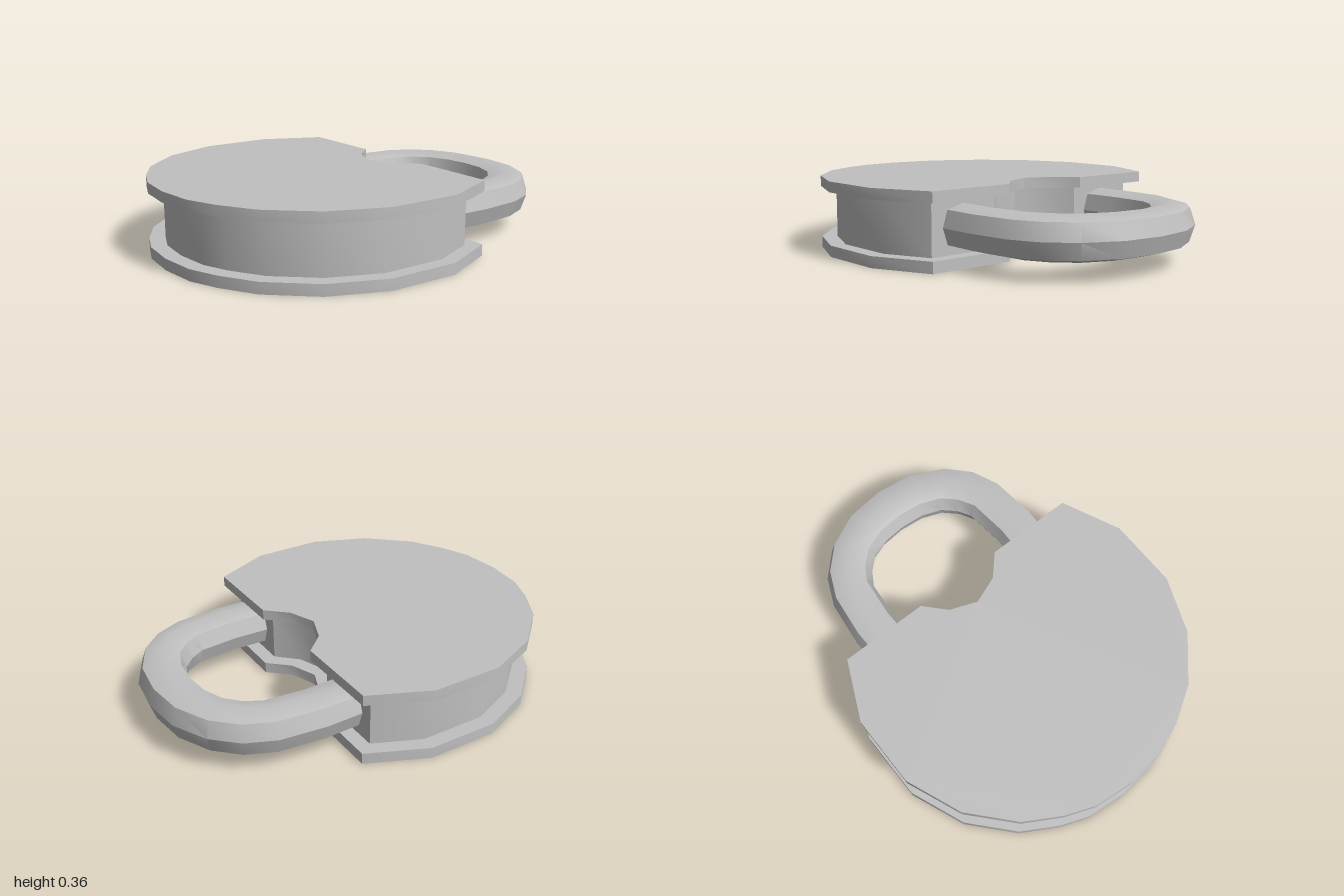
import * as THREE from 'three';
import { toCreasedNormals } from 'three/addons/utils/BufferGeometryUtils.js';

const CREASE = THREE.MathUtils.degToRad(35);

// Mirrors a right-half outline [x, z] (back centre to front centre) into a closed shape
function mirroredShape(half) {
  const left = half.slice(1, -1).reverse().map(([x, z]) => [-x, z]);
  return new THREE.Shape([...half, ...left].map(([x, z]) => new THREE.Vector2(x, z)));
}

// Horizontal slab with the given outline between two heights
function slab(half, bottom, top) {
  const geo = new THREE.ExtrudeGeometry(mirroredShape(half), { depth: top - bottom, bevelEnabled: false });
  geo.rotateX(Math.PI / 2).translate(0, top, 0);
  return toCreasedNormals(geo, CREASE);
}

// Octagonal bar swept through pairs of outer and inner points [xo, zo, xi, zi]
function shackleGeometry(half, y) {
  const stations = [...half, ...half.slice(0, -1).reverse().map(([a, b, c, d]) => [-a, b, -c, d])];
  const section = [[1, 0], [0.77, 0.08], [0, 0.104], [-0.77, 0.08], [-1, 0], [-0.77, -0.08], [0, -0.104], [0.77, -0.08]];
  const n = section.length, positions = [], index = [];
  stations.forEach(([xo, zo, xi, zi], i) => {
    section.forEach(([s, h], k) => {
      const t = (1 + s) / 2;
      positions.push(xi + (xo - xi) * t, y + h, zi + (zo - zi) * t);
      if (i === stations.length - 1) return;
      const a = i * n + k, b = i * n + (k + 1) % n;
      index.push(a, a + n, b, b, a + n, b + n);
    });
  });
  const geo = new THREE.BufferGeometry();
  geo.setAttribute('position', new THREE.Float32BufferAttribute(positions, 3));
  geo.setIndex(index);
  return toCreasedNormals(geo, CREASE);
}

export function createModel() {
  const group = new THREE.Group();
  group.name = 'padlock';
  const metal = new THREE.MeshStandardMaterial({ color: 0xc0c0c0 });
  metal.name = 'grey metal';

  const add = (name, geo) => {
    const mesh = new THREE.Mesh(geo, metal);
    mesh.name = name;
    group.add(mesh);
  };

  // Wide cover plates with a notch at the back
  const plate = [[0, -0.135], [0.135, -0.187], [0.23, -0.29], [0.67, -0.29], [0.8, 0], [0.8, 0.35],
    [0.69, 0.62], [0.51, 0.82], [0.34, 0.92], [0.195, 0.977], [0, 0.997]];
  add('bottomPlate', slab(plate, 0, 0.055));
  add('topPlate', slab(plate, 0.31, 0.362));

  // Inset lock body between the plates
  const core = [[0, -0.06], [0.165, -0.12], [0.262, -0.22], [0.625, -0.22], [0.727, 0.01], [0.727, 0.335],
    [0.628, 0.575], [0.465, 0.757], [0.31, 0.85], [0.18, 0.902], [0, 0.92]];
  add('lockBody', slab(core, 0.055, 0.31));

  // Shackle with both legs running into the body
  const bar = [[0.56, -0.15, 0.33, -0.15], [0.567, -0.4, 0.337, -0.4], [0.542, -0.63, 0.318, -0.595],
    [0.48, -0.775, 0.275, -0.667], [0.37, -0.89, 0.212, -0.725], [0.2, -0.975, 0.115, -0.76], [0, -1, 0, -0.77]];
  add('shackle', shackleGeometry(bar, 0.183));

  return group;
}
